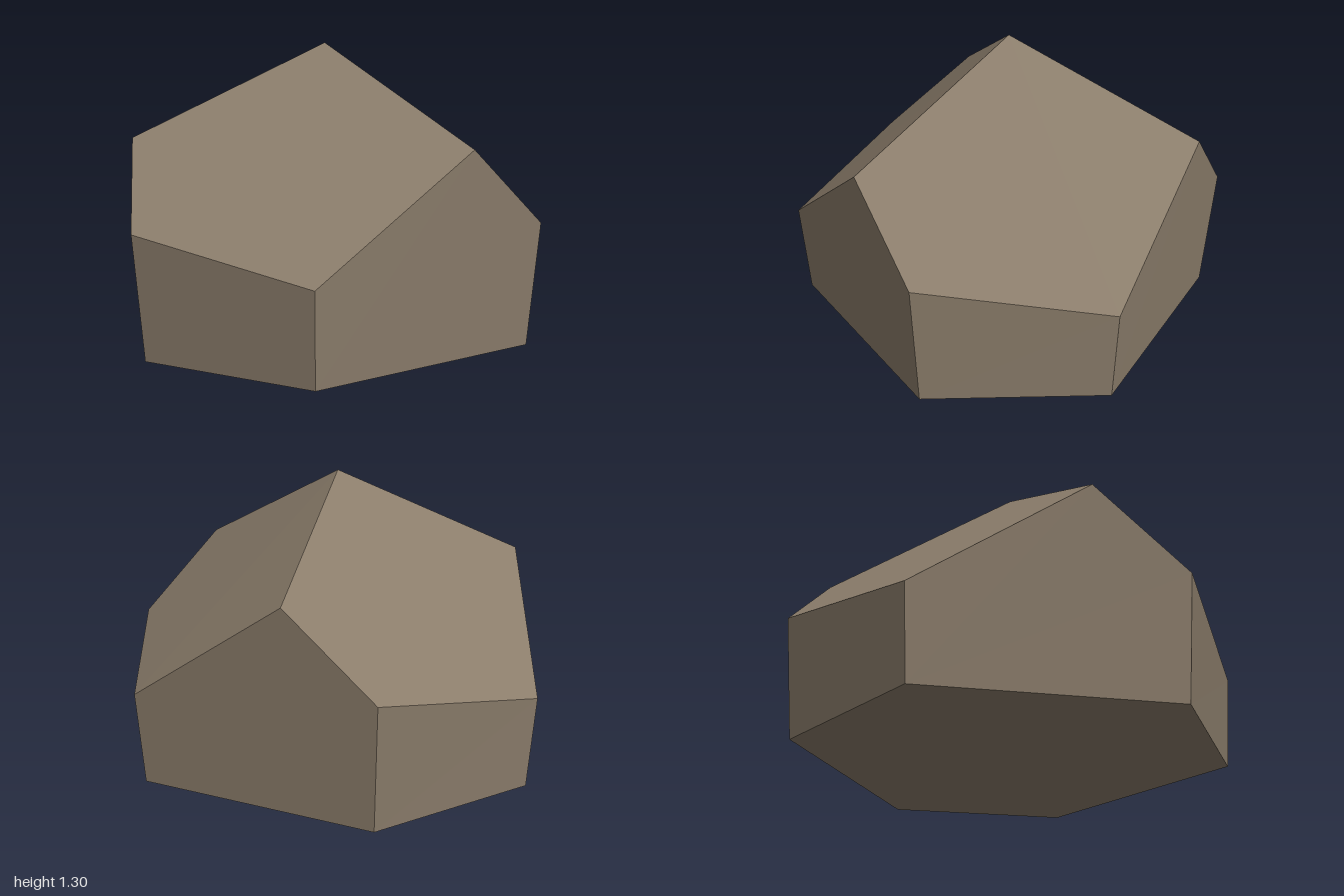
import * as THREE from 'three';

// Faceted boulder: an apex over three matching sectors, standing on a flat six-sided base.
const centre = [-0.03, 0];
const apex = [-0.03, 1.305, 0];
const sectors = [
  { low: [-0.12, 0.41, 1.0], ridge: [0.545, 0.9, 0.655], high: [0.88, 0.55, 0.43] },
  { low: [0.87, 0.41, -0.415], ridge: [0.245, 0.9, -0.82], high: [-0.12, 0.55, -1.0] },
  { low: [-0.845, 0.41, -0.565], ridge: [-0.885, 0.9, 0.175], high: [-0.855, 0.55, 0.585] },
];

// Foot of a side edge, drawn in slightly towards the centre
function foot([x, , z], scale) {
  return [centre[0] + (x - centre[0]) * scale, 0, centre[1] + (z - centre[1]) * scale];
}

// Flat polygons, each split into a fan of triangles
function facetGeometry(faces) {
  const positions = [];
  for (const face of faces) {
    for (let i = 1; i < face.length - 1; i++) {
      positions.push(...face[0], ...face[i], ...face[i + 1]);
    }
  }
  const geometry = new THREE.BufferGeometry();
  geometry.setAttribute('position', new THREE.Float32BufferAttribute(positions, 3));
  geometry.computeVertexNormals();
  return geometry;
}

export function createModel() {
  const stone = new THREE.MeshStandardMaterial({ color: 0x8b7d6b, flatShading: true });
  stone.name = 'stone';

  const faces = [];
  const base = [];
  sectors.forEach((s, k) => {
    const next = sectors[(k + 1) % 3];
    const lowFoot = foot(s.low, 0.965);
    const highFoot = foot(s.high, 0.95);
    const nextFoot = foot(next.low, 0.965);
    faces.push([apex, s.ridge, s.high, next.low, next.ridge]); // sloping top facet
    faces.push([lowFoot, highFoot, s.high, s.ridge, s.low]); // tall side facet
    faces.push([highFoot, nextFoot, next.low, s.high]); // short side facet
    base.push(lowFoot, highFoot);
  });
  faces.push(base.reverse()); // underside

  const boulder = new THREE.Mesh(facetGeometry(faces), stone);
  boulder.name = 'boulder';

  const group = new THREE.Group();
  group.name = 'rock';
  group.add(boulder);
  return group;
}
